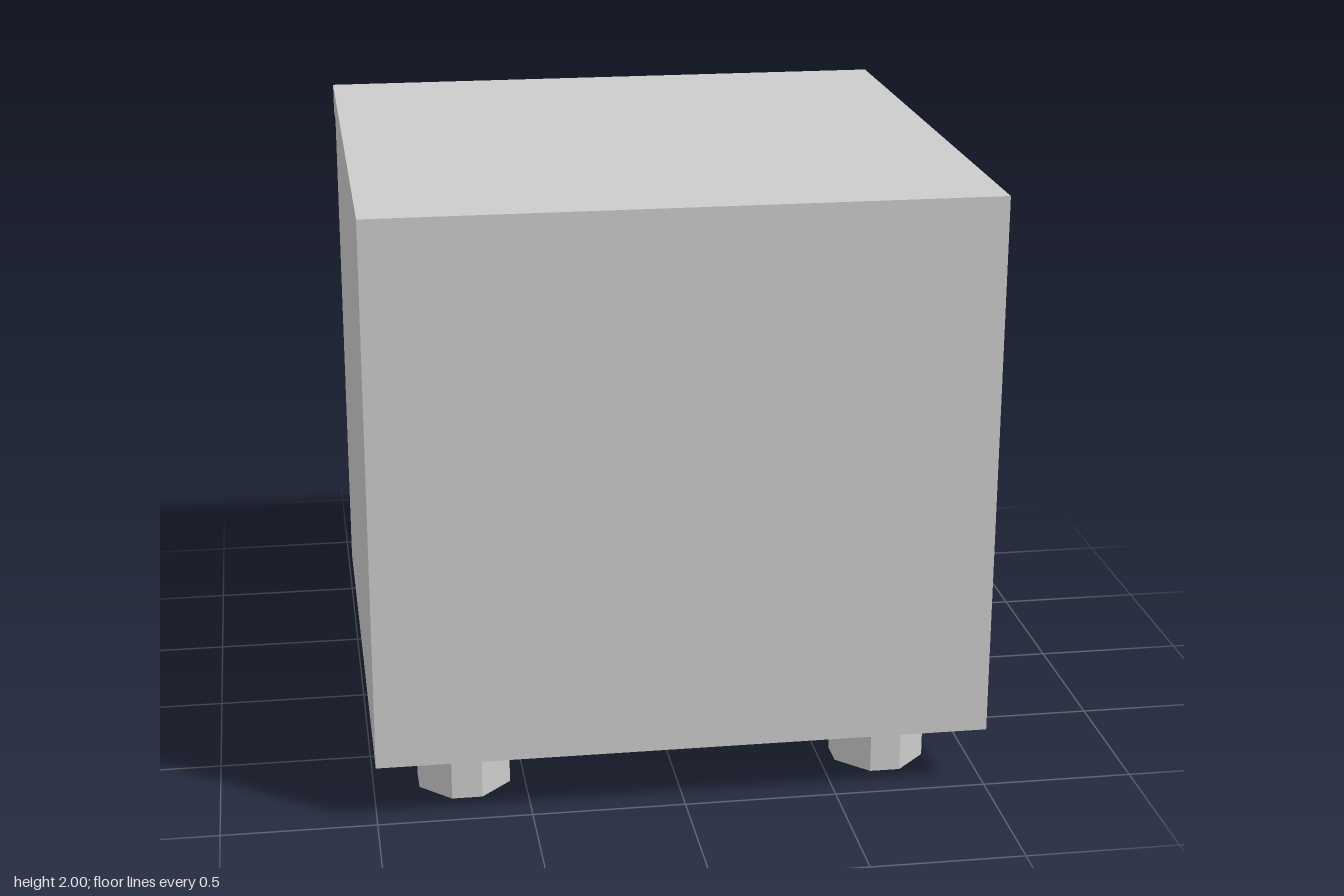
import * as THREE from 'three';

const material = new THREE.MeshStandardMaterial({ color: 0xcccccc, flatShading: true });

function rectangle(PathType, x0, y0, x1, y1) {
  return new PathType([[x0, y0], [x1, y0], [x1, y1], [x0, y1]].map(([x, y]) => new THREE.Vector2(x, y)));
}

function part(name, geometry, x, y, z) {
  const mesh = new THREE.Mesh(geometry, material);
  mesh.name = name;
  mesh.position.set(x, y, z);
  return mesh;
}

export function createModel() {
  const model = new THREE.Group();
  model.name = 'cabinet';

  // Carcass: a frame with two compartments, open at the back
  const frame = rectangle(THREE.Shape, -1, 0.2, 1, 1.9);
  for (const floor of [0.35, 1.1]) {
    frame.holes.push(rectangle(THREE.Path, -0.85, floor, 0.85, floor + 0.65));
  }
  const carcass = new THREE.ExtrudeGeometry(frame, { depth: 1.7, bevelEnabled: false });
  model.add(part('carcass', carcass, 0, 0, -0.85));

  // Plain front panel closes the compartments
  model.add(part('frontPanel', new THREE.BoxGeometry(2, 1.7, 0.15), 0, 1.05, 0.925));

  // Top overhangs the open side
  model.add(part('top', new THREE.BoxGeometry(2, 0.1, 2), 0, 1.95, 0));

  // Feet: square blocks with chamfered corners
  const a = 0.15, b = 0.05;
  const outline = [[a, -b], [a, b], [b, a], [-b, a], [-a, b], [-a, -b], [-b, -a], [b, -a]];
  const footShape = new THREE.Shape(outline.map(([x, y]) => new THREE.Vector2(x, y)));
  const foot = new THREE.ExtrudeGeometry(footShape, { depth: 0.2, bevelEnabled: false });
  foot.rotateX(-Math.PI / 2);
  for (const x of [-0.7, 0.7]) {
    for (const z of [-0.7, 0.7]) {
      model.add(part(`${z > 0 ? 'front' : 'back'}${x > 0 ? 'Left' : 'Right'}Foot`, foot, x, 0, z));
    }
  }

  return model;
}
